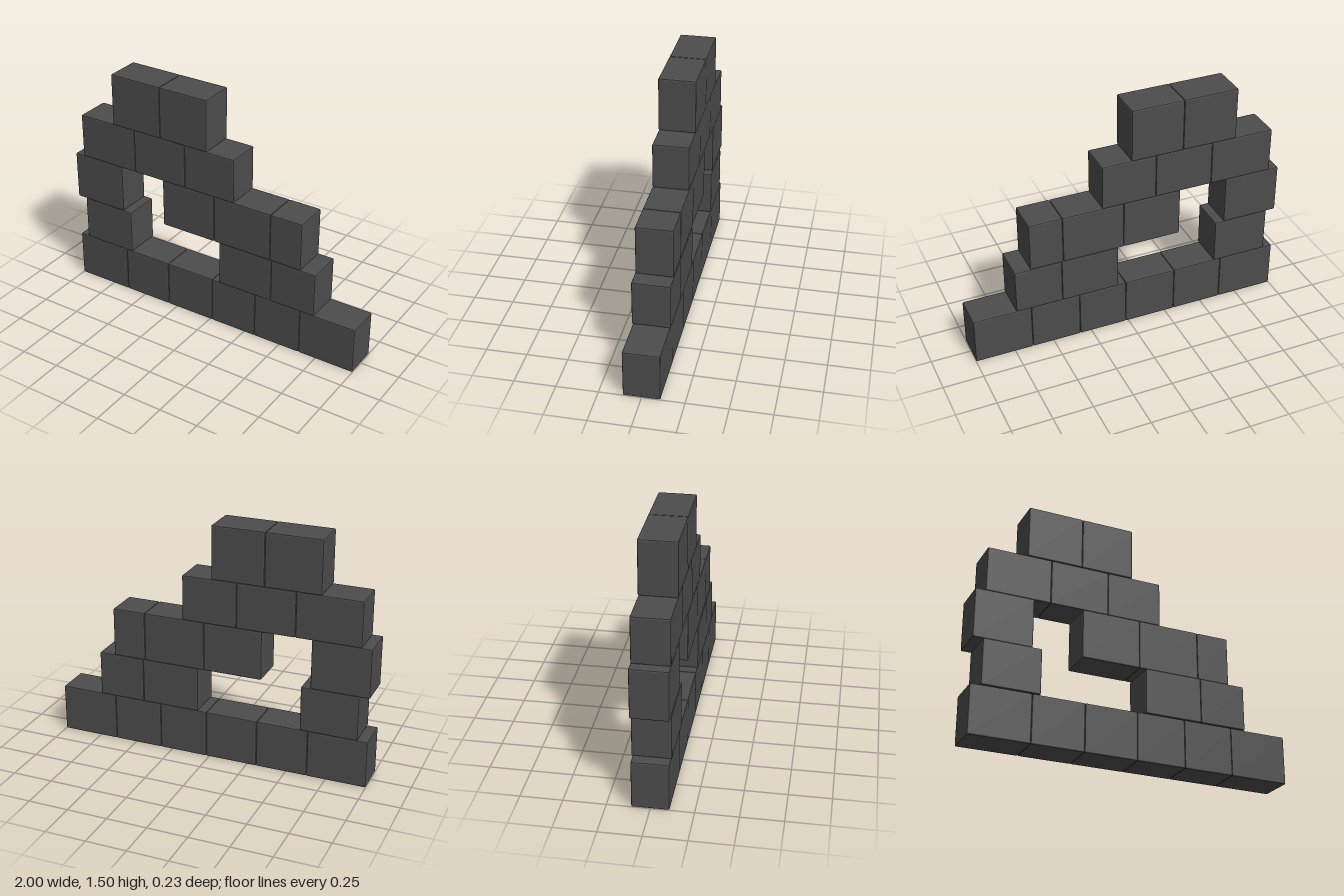
import * as THREE from 'three';
import { RoundedBoxGeometry } from 'three/addons/geometries/RoundedBoxGeometry.js';

// Courses from the ground up: bottom, top, half depth, and the joints of each run of blocks along x
const COURSES = [
  { y0: 0, y1: 0.3, half: 0.109, runs: [[-1, -0.632, -0.31, 0.018, 0.324, 0.635, 1]] },
  { y0: 0.3, y1: 0.583, half: 0.114, runs: [[-0.938, -0.583], [0.071, 0.435, 0.73]] },
  { y0: 0.58, y1: 0.888, half: 0.111, runs: [[-1, -0.64], [-0.335, 0.033, 0.421, 0.63]] },
  { y0: 0.885, y1: 1.168, half: 0.11, runs: [[-0.938, -0.539, -0.174, 0.17]] },
  { y0: 1.167, y1: 1.498, half: 0.112, runs: [[-0.692, -0.346, -0.016]] },
];

const BEVEL = 0.008;

export function createModel() {
  const wall = new THREE.Group();
  wall.name = 'ruinedWall';
  const stone = new THREE.MeshStandardMaterial({ color: 0x4c4c4c, flatShading: true });

  COURSES.forEach(({ y0, y1, half, runs }, row) => {
    const course = new THREE.Group();
    course.name = `course${row + 1}`;
    let count = 0;
    for (const joints of runs) {
      for (let i = 0; i < joints.length - 1; i++) {
        // Chamfered stone block between two joints
        const [x0, x1] = [joints[i], joints[i + 1]];
        const block = new THREE.Mesh(
          new RoundedBoxGeometry(x1 - x0, y1 - y0, half * 2, 1, BEVEL), stone);
        block.position.set((x0 + x1) / 2, (y0 + y1) / 2, 0);
        block.name = `block${++count}`;
        course.add(block);
      }
    }
    wall.add(course);
  });
  return wall;
}
